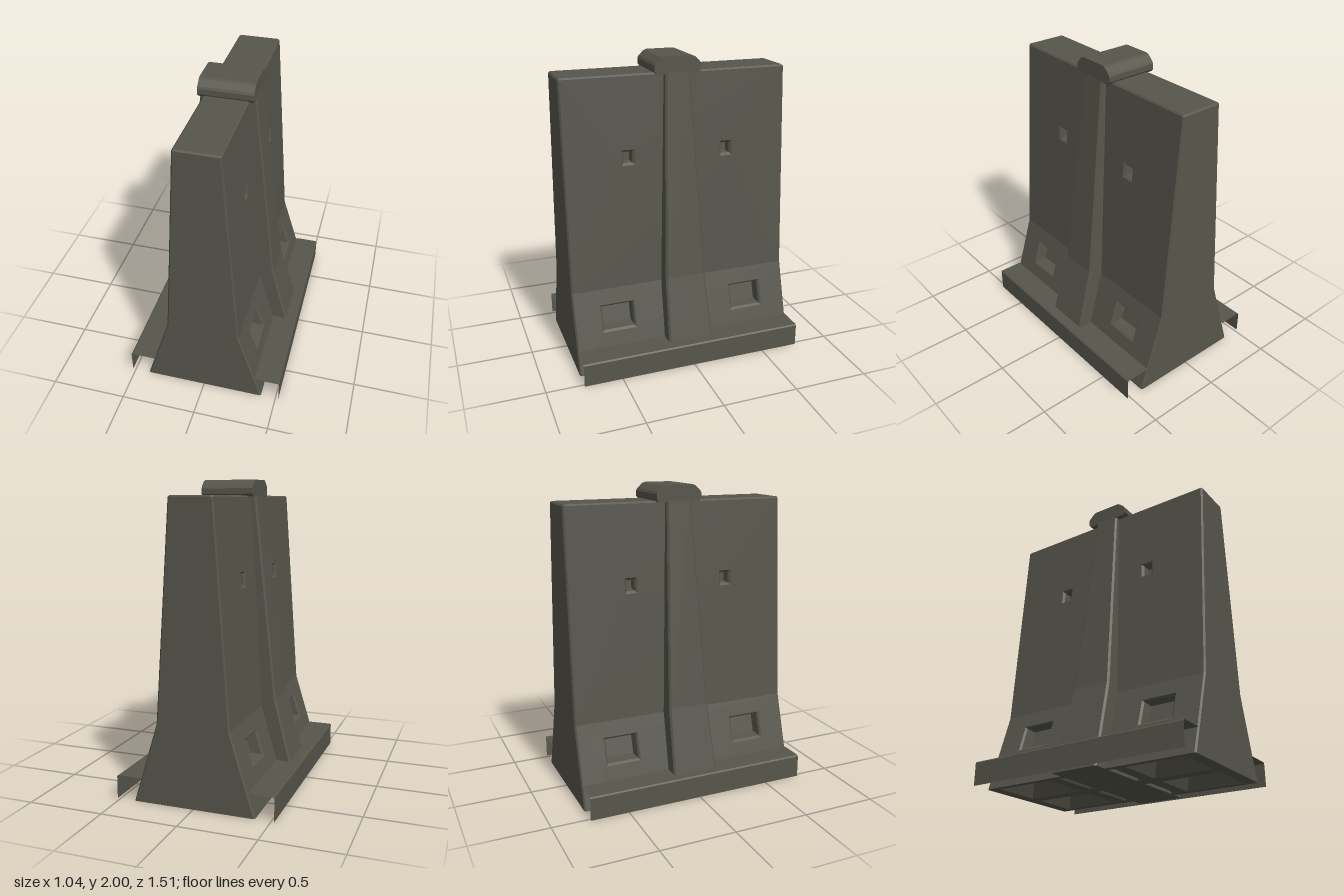
import * as THREE from 'three';

const concrete = new THREE.MeshStandardMaterial({ color: 0x57564c, flatShading: true, side: THREE.DoubleSide });
concrete.name = 'dark concrete';

const HALF = 0.745;   // half length up to the end chamfer
const END = 0.755;    // half length overall

// half width of the wall and of the central rib at height y
const slope = (y, y1, a, b, y2, c) => y < y1 ? a + (b - a) * y / y1 : b + (c - b) * (y - y1) / (y2 - y1);
const wallX = y => slope(y, 0.52, 0.40, 0.24, 1.89, 0.142);
const ribX = y => slope(y, 0.57, 0.49, 0.335, 1.9, 0.175);

function mesh(name, geometry) {
  const m = new THREE.Mesh(geometry, concrete);
  m.name = name;
  return m;
}

// geometry from a list of four-cornered faces
function quads(list) {
  const pos = [];
  for (const [a, b, c, d] of list) pos.push(...a, ...b, ...c, ...a, ...c, ...d);
  const g = new THREE.BufferGeometry();
  g.setAttribute('position', new THREE.Float32BufferAttribute(pos, 3));
  g.computeVertexNormals();
  return g;
}

// faces joining two closed loops of points
const ring = (a, b) => a.map((p, i) => {
  const j = (i + 1) % a.length;
  return [p, a[j], b[j], b[i]];
});

const corners = ([u0, v0, u1, v1], inset = 0) => [
  [u0 + inset, v0 + inset], [u1 - inset, v0 + inset], [u1 - inset, v1 - inset], [u0 + inset, v1 - inset]];

// panel with recesses; map(u, v, depth) places it in space
function panel(name, outline, holes, steps, map) {
  const group = new THREE.Group();
  group.name = name;
  const shape = new THREE.Shape(outline.map(p => new THREE.Vector2(...p)));
  for (const h of holes) shape.holes.push(new THREE.Path(corners(h).reverse().map(p => new THREE.Vector2(...p))));
  const g = new THREE.ShapeGeometry(shape);
  const p = g.attributes.position;
  for (let i = 0; i < p.count; i++) p.setXYZ(i, ...map(p.getX(i), p.getY(i), 0));
  g.computeVertexNormals();
  group.add(mesh(name + ' face', g));
  for (const h of holes) {
    const loops = [[0, 0], ...steps].map(([inset, depth]) => corners(h, inset).map(([u, v]) => map(u, v, depth)));
    const faces = [loops.at(-1)];
    for (let i = 1; i < loops.length; i++) faces.push(...ring(loops[i - 1], loops[i]));
    group.add(mesh(name + ' recess', quads(faces)));
  }
  return group;
}

// long side with lifting pockets below and small sockets above
function wallSide() {
  const map = (u, v, d) => [wallX(v) - d, v, -u];
  const side = new THREE.Group();
  side.name = 'wallSide';
  side.add(
    panel('lowerSide', corners([-HALF, 0, HALF, 0.52]),
      [[-0.575, 0.245, -0.34, 0.42], [0.34, 0.245, 0.575, 0.42]], [[0.012, 0.012], [0.02, 0.08]], map),
    panel('upperSide', corners([-HALF, 0.52, HALF, 1.89]),
      [[-0.378, 1.33, -0.292, 1.43], [0.292, 1.33, 0.378, 1.43]], [[0.014, 0.014], [0.02, 0.06]], map),
    mesh('topChamfer', quads([[[0.142, 1.89, HALF], [0.142, 1.89, -HALF], [0.132, 1.9, -HALF], [0.132, 1.9, HALF]]])));
  return side;
}

// end wall with a narrow chamfer around it
function wallEnd() {
  const right = [[0.40, 0], [0.24, 0.52], [0.142, 1.89], [0.132, 1.9]];
  const outline = [...right, ...right.map(([x, y]) => [-x, y]).reverse()];
  const inner = outline.map(([x, y]) => [x - Math.sign(x) * 0.01, Math.min(y, 1.89)]);
  const end = panel('wallEnd', inner, [], [], (u, v) => [u, v, END]);
  end.add(mesh('endChamfer', quads(ring(outline.map(p => [...p, HALF]), inner.map(p => [...p, END])))));
  return end;
}

// underside with two rows of three tapered hollows
function underside() {
  const holes = [];
  for (const x of [-0.36, 0.04]) for (const z of [-0.68, -0.2, 0.28]) holes.push([x, z, x + 0.32, z + 0.4]);
  return panel('underside', corners([-0.4, -HALF, 0.4, HALF]), holes, [[0.06, 0.14]], (u, v, d) => [u, d, v]);
}

// tapering buttress through the middle, chamfered at its corners
function rib() {
  const c = 0.012;
  const loops = [0, 0.57, 1.9].map(y => {
    const x = ribX(y), z = 0.16 - 0.04 * y;
    return [[x, z - c], [x - c, z], [c - x, z], [-x, z - c], [-x, c - z], [c - x, -z], [x - c, -z], [x, c - z]]
      .map(([px, pz]) => [px, y, pz]).reverse();
  });
  const b = loops[0];
  return mesh('centralRib', quads([
    ...ring(loops[0], loops[1]), ...ring(loops[1], loops[2]),
    [b[3], b[2], b[1], b[0]], [b[7], b[4], b[3], b[0]], [b[7], b[6], b[5], b[4]]]));
}

// rounded block on top of the rib
function cap() {
  const half = [[0.09, 1.892], [0.14, 1.892], [0.155, 1.91], [0.155, 1.945], [0.147, 1.96], [0.112, 1.993], [0.095, 2]];
  const pts = [...half, ...half.map(([z, y]) => [-z, y]).reverse()];
  const g = new THREE.ExtrudeGeometry(new THREE.Shape(pts.map(p => new THREE.Vector2(...p))),
    { depth: 0.35, bevelEnabled: false });
  g.translate(0, 0, -0.175).rotateY(Math.PI / 2);
  return mesh('topCap', g);
}

// thin folded kerb along the foot
function kerb() {
  const path = [[0.52, 0], [0.52, 0.147], [0.512, 0.155], [0.354, 0.155]];
  const faces = [];
  for (let i = 1; i < path.length; i++) {
    const a = path[i - 1], b = path[i];
    faces.push([[...a, END], [...a, -END], [...b, -END], [...b, END]]);
  }
  return mesh('kerb', quads(faces));
}

export function createModel() {
  const model = new THREE.Group();
  model.name = 'barrier';
  for (const turn of [0, Math.PI]) {
    const half = new THREE.Group();
    half.name = turn ? 'rearHalf' : 'frontHalf';
    half.add(wallSide(), wallEnd(), kerb());
    half.rotation.y = turn;
    model.add(half);
  }
  const top = [[-0.132, 1.9, HALF], [0.132, 1.9, HALF], [0.132, 1.9, -HALF], [-0.132, 1.9, -HALF]];
  model.add(mesh('wallTop', quads([top])), underside(), rib(), cap());
  return model;
}
